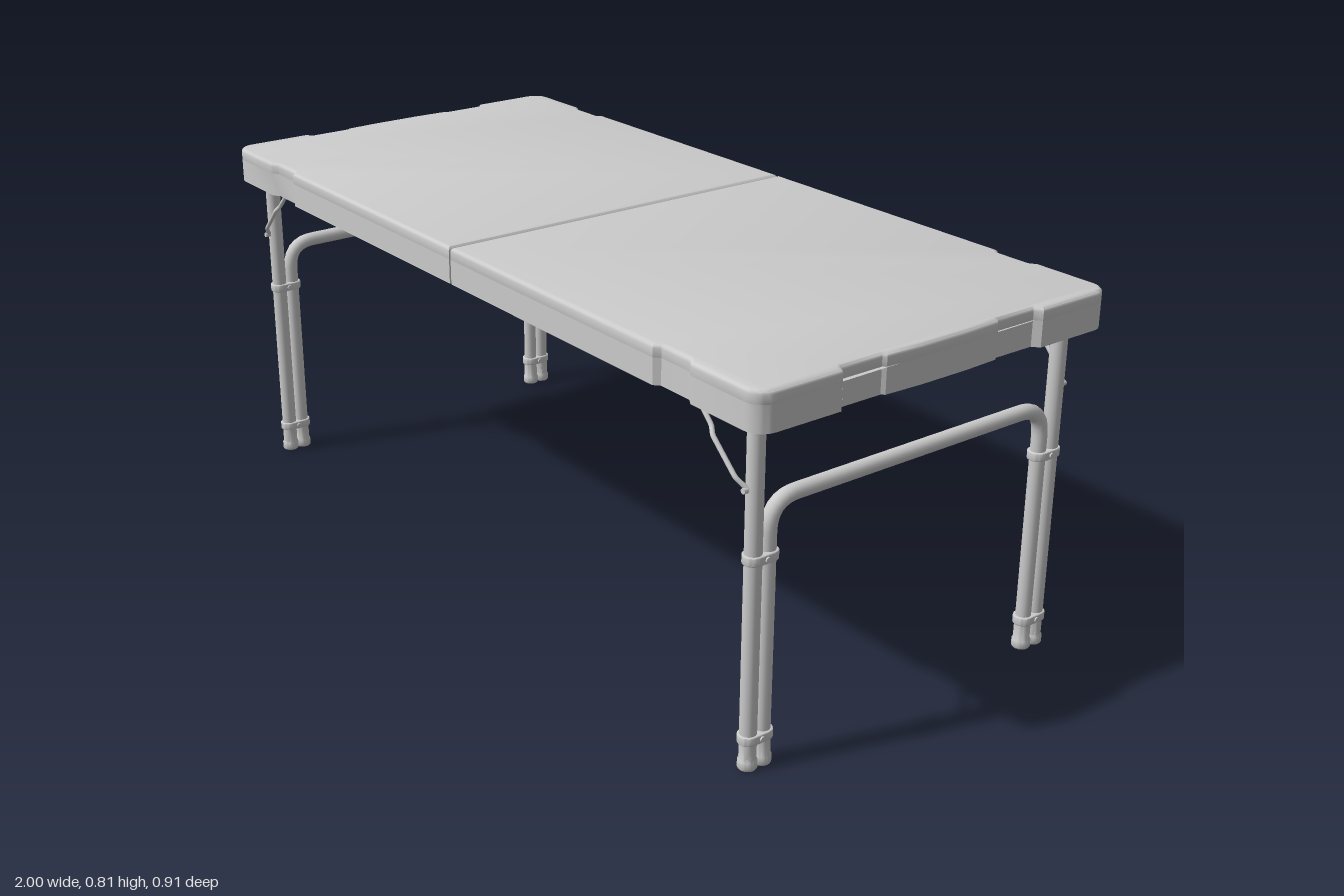
import * as THREE from 'three';
import { toCreasedNormals } from 'three/addons/utils/BufferGeometryUtils.js';

const material = new THREE.MeshStandardMaterial({ color: 0xcccccc, roughness: 0.7 });

function add(parent, name, geometry, x = 0, y = 0, z = 0) {
  const mesh = new THREE.Mesh(geometry, material);
  mesh.name = name;
  mesh.position.set(x, y, z);
  parent.add(mesh);
  return mesh;
}

// Extrude a plan-view shape upward from y = 0
function extrudeUp(shape, height, bevel = 0) {
  const g = new THREE.ExtrudeGeometry(shape, {
    depth: height - 2 * bevel, bevelEnabled: bevel > 0, bevelThickness: bevel,
    bevelSize: bevel, bevelOffset: -bevel, bevelSegments: 3, curveSegments: 10,
  });
  g.translate(0, 0, bevel);
  g.rotateX(-Math.PI / 2);
  return toCreasedNormals(g, 0.6);
}

// Tube along straight pieces with rounded corners
function rod(points, radius, corner = 0) {
  const v = points.map((p) => new THREE.Vector3(...p));
  const path = new THREE.CurvePath();
  let last = v[0];
  for (let i = 1; i < v.length - 1; i++) {
    const a = v[i].clone().add(v[i - 1].clone().sub(v[i]).setLength(corner));
    const b = v[i].clone().add(v[i + 1].clone().sub(v[i]).setLength(corner));
    path.add(new THREE.LineCurve3(last, a));
    path.add(new THREE.QuadraticBezierCurve3(a, v[i].clone(), b));
    last = b;
  }
  path.add(new THREE.LineCurve3(last, v[v.length - 1]));
  return new THREE.TubeGeometry(path, v.length > 2 ? 120 : 1, radius, 16);
}

// Plan outline of half the top: grip notches beside each rounded corner
function halfOutline(inset) {
  const corner = [];
  for (let i = 0; i <= 8; i++) {
    const a = (i / 8) * Math.PI / 2;
    corner.push([0.96 + 0.04 * Math.sin(a), 0.417 + 0.04 * Math.cos(a)]);
  }
  const quarter = [
    [0.003, 0.457], [0.7, 0.457], [0.712, 0.446], [0.795, 0.446], [0.812, 0.457],
    ...corner,
    [1, 0.262], [0.985, 0.25], [0.985, 0.152], [0.991, 0.145], [0.995, 0.06],
  ].map(([x, z]) => [x > 0.01 ? x - inset : x, z - inset]);
  return [
    ...quarter.map(([x, z]) => new THREE.Vector2(x, -z)),
    ...quarter.reverse().map(([x, z]) => new THREE.Vector2(x, z)),
  ];
}

function makeTopHalf() {
  const half = new THREE.Group();
  half.name = 'topHalf';
  add(half, 'panel', extrudeUp(new THREE.Shape(halfOutline(0)), 0.036, 0.009), 0, 0.776, 0);
  // Skirt is open at the centre seam
  const ring = new THREE.Shape([...halfOutline(0), ...halfOutline(0.014).reverse()]);
  add(half, 'skirt', extrudeUp(ring, 0.055), 0, 0.73, 0);
  return half;
}

// Capsule-shaped clamp round the two tubes of a leg
function clampShape(r) {
  const s = new THREE.Shape();
  s.absarc(0, 0.0175, r, 0, Math.PI);
  s.absarc(0, -0.0175, r, Math.PI, 2 * Math.PI);
  s.closePath();
  return s;
}

function makeLegFrame() {
  const X = 0.93;
  const frame = new THREE.Group();
  frame.name = 'legFrame';

  // Inner U-shaped tube and upper cross bar
  add(frame, 'innerLegTube', rod([
    [X, 0.01, 0.365], [X, 0.558, 0.365], [X, 0.558, -0.365], [X, 0.01, -0.365],
  ], 0.0165, 0.065));
  add(frame, 'upperCrossBar', rod([[X, 0.752, 0.435], [X, 0.752, -0.435]], 0.012));

  for (const side of [1, -1]) {
    const z = 0.4 * side;
    add(frame, 'outerLegTube', new THREE.CylinderGeometry(0.0175, 0.0175, 0.77, 20), X, 0.395, z);

    // Clamps with a small bolt
    for (const y of [0.45, 0.067]) {
      add(frame, 'legClamp', extrudeUp(clampShape(0.0215), 0.019, 0.002), X, y - 0.0095, 0.3825 * side);
      const bolt = add(frame, 'clampBolt', new THREE.CylinderGeometry(0.006, 0.006, 0.05, 10), X, y, 0.3825 * side);
      bolt.rotation.z = Math.PI / 2;
    }

    // Feet
    for (const fz of [0.4, 0.365]) {
      const profile = [[0, 0], [0.018, 0], [0.02, 0.003], [0.02, 0.018], [0.0175, 0.023], [0.0175, 0.06]]
        .map(([r, y]) => new THREE.Vector2(r, y));
      add(frame, 'foot', toCreasedNormals(new THREE.LatheGeometry(profile, 20), 0.6), X, 0, fz * side);
    }

    // Bent wire brace from leg to underside
    add(frame, 'brace', rod([
      [X + 0.004, 0.59, 0.415 * side], [0.912, 0.615, 0.432 * side], [0.85, 0.677, 0.435 * side],
      [0.838, 0.69, 0.428 * side], [0.778, 0.75, 0.428 * side],
    ], 0.005, 0.006));
    const pin = add(frame, 'bracePin', new THREE.CylinderGeometry(0.006, 0.006, 0.03, 10), X, 0.593, 0.414 * side);
    pin.rotation.x = Math.PI / 2;
    add(frame, 'braceAnchor', new THREE.BoxGeometry(0.03, 0.034, 0.02), 0.78, 0.763, 0.427 * side);
  }
  return frame;
}

export function createModel() {
  const table = new THREE.Group();
  table.name = 'foldingTable';

  // Two matching ends
  for (const turn of [0, Math.PI]) {
    const end = new THREE.Group();
    end.name = turn ? 'rightHalf' : 'leftHalf';
    end.add(makeTopHalf(), makeLegFrame());
    end.rotation.y = turn;
    table.add(end);
  }

  // Support rail under the seam
  add(table, 'centreRail', rod([[0, 0.757, 0.44], [0, 0.757, -0.44]], 0.015));
  add(table, 'seamStrip', new THREE.BoxGeometry(0.012, 0.02, 0.89), 0, 0.785, 0);
  return table;
}
